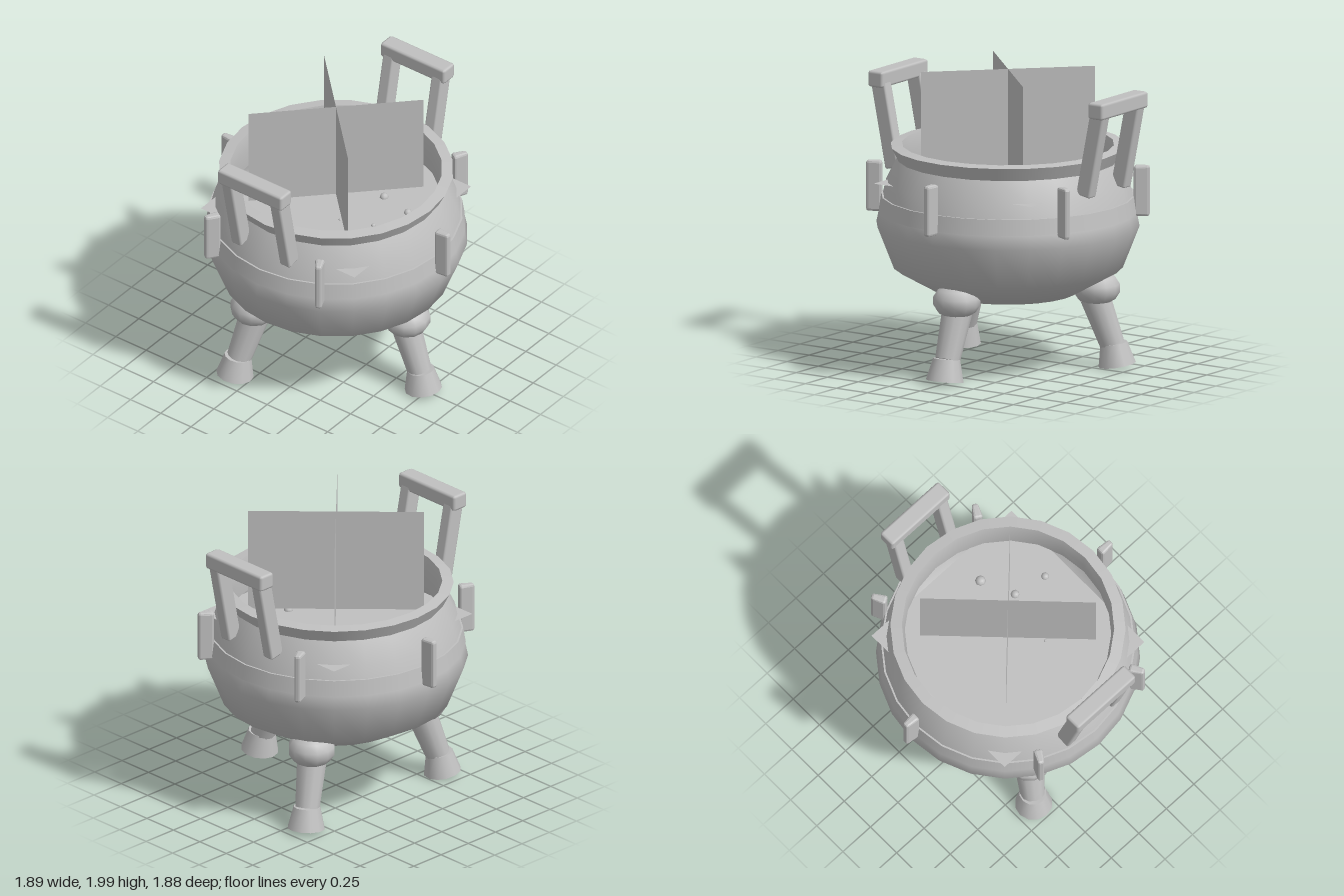
import * as THREE from 'three';
import { RoundedBoxGeometry } from 'three/addons/geometries/RoundedBoxGeometry.js';

export function createModel() {
  const model = new THREE.Group();
  const grey = new THREE.MeshStandardMaterial({ color: 0xc0c0c0, side: THREE.DoubleSide });
  grey.name = 'plain grey';

  const add = (name, geometry, parent = model, x = 0, y = 0, z = 0) => {
    const mesh = new THREE.Mesh(geometry, grey);
    mesh.name = name;
    mesh.position.set(x, y, z);
    parent.add(mesh);
    return mesh;
  };
  const lathe = (name, points, segments = 24) =>
    add(name, new THREE.LatheGeometry(points.map(p => new THREE.Vector2(...p)), segments));

  // Pot body, waist band and flared rim
  lathe('bowl', [[0, 0.495], [0.46, 0.51], [0.76, 0.68], [0.87, 0.96], [0.85, 1.06],
    [0.805, 1.25], [0.73, 1.4]]);
  lathe('band', [[0.855, 1.055], [0.838, 1.16]]);
  lathe('bandTop', [[0.838, 1.16], [0.81, 1.16]]);
  lathe('rimOutside', [[0.73, 1.4], [0.775, 1.49]]);
  lathe('rimTop', [[0.775, 1.49], [0.7, 1.5]]);
  lathe('rimInside', [[0.7, 1.5], [0.68, 1.4], [0.69, 1.25]]);

  // Square liquid sheet whose corners reach through the wall, with a few bubbles
  add('liquid', new THREE.PlaneGeometry(1.27, 1.27), model, 0, 1.26, 0).rotation.x = -Math.PI / 2;
  for (const [x, z, r] of [[0.42, 0.15, 0.036], [0.195, 0.25, 0.03], [0.15, 0.48, 0.027],
    [-0.1, 0.385, 0.016], [-0.32, 0.455, 0.013], [-0.18, 0.17, 0.01]]) {
    add('bubble', new THREE.SphereGeometry(r, 8, 6), model, x, 1.26, z);
  }

  // Crossed upright steam sheets
  for (const side of [-1, 1]) {
    add('steam', new THREE.PlaneGeometry(1.16, 0.71), model, 0, 1.645, 0).rotation.y = side * Math.PI / 4;
  }

  // Tapered round piece between two points in the plane of a leg
  const taper = (name, parent, z0, y0, r0, z1, y1, r1) => {
    const length = Math.hypot(z1 - z0, y1 - y0);
    const mesh = add(name, new THREE.CylinderGeometry(r1, r0, length, 12), parent,
      0, (y0 + y1) / 2, (z0 + z1) / 2);
    mesh.rotation.x = Math.atan2(z1 - z0, y1 - y0);
  };

  // Three splayed legs
  for (let i = 0; i < 3; i++) {
    const leg = new THREE.Group();
    leg.name = 'leg';
    leg.rotation.y = i * Math.PI * 2 / 3;
    model.add(leg);
    add('knee', new THREE.SphereGeometry(0.16, 12, 7), leg, 0, 0.54, 0.585).scale.y = 0.75;
    taper('shin', leg, 0.69, 0.16, 0.083, 0.575, 0.48, 0.102);
    taper('foot', leg, 0.722, 0.025, 0.125, 0.7, 0.17, 0.09);
  }

  // Six upright ribs around the waist, narrower on the outside
  const ribGeometry = new RoundedBoxGeometry(0.06, 0.34, 0.105, 1, 0.016);
  const p = ribGeometry.attributes.position;
  for (let i = 0; i < p.count; i++) p.setX(i, p.getX(i) * (0.9 - 4 * p.getZ(i)));
  ribGeometry.computeVertexNormals();
  for (let i = 0; i < 6; i++) {
    const holder = new THREE.Group();
    holder.name = 'ribHolder';
    holder.rotation.y = i * Math.PI / 3;
    model.add(holder);
    add('rib', ribGeometry, holder, 0, 1.2, 0.885);
  }

  // Two side handles with leaning posts
  for (const side of [-1, 1]) {
    const handle = new THREE.Group();
    handle.name = side > 0 ? 'leftHandle' : 'rightHandle';
    model.add(handle);
    add('handleBar', new RoundedBoxGeometry(0.12, 0.11, 0.53, 1, 0.018), handle, side * 0.887, 1.865, 0);
    for (const z of [-0.2, 0.2]) {
      add('handlePost', new RoundedBoxGeometry(0.11, 0.58, 0.085, 1, 0.014), handle,
        side * 0.826, 1.56, z).rotation.z = -side * 0.2;
    }
  }
  return model;
}
